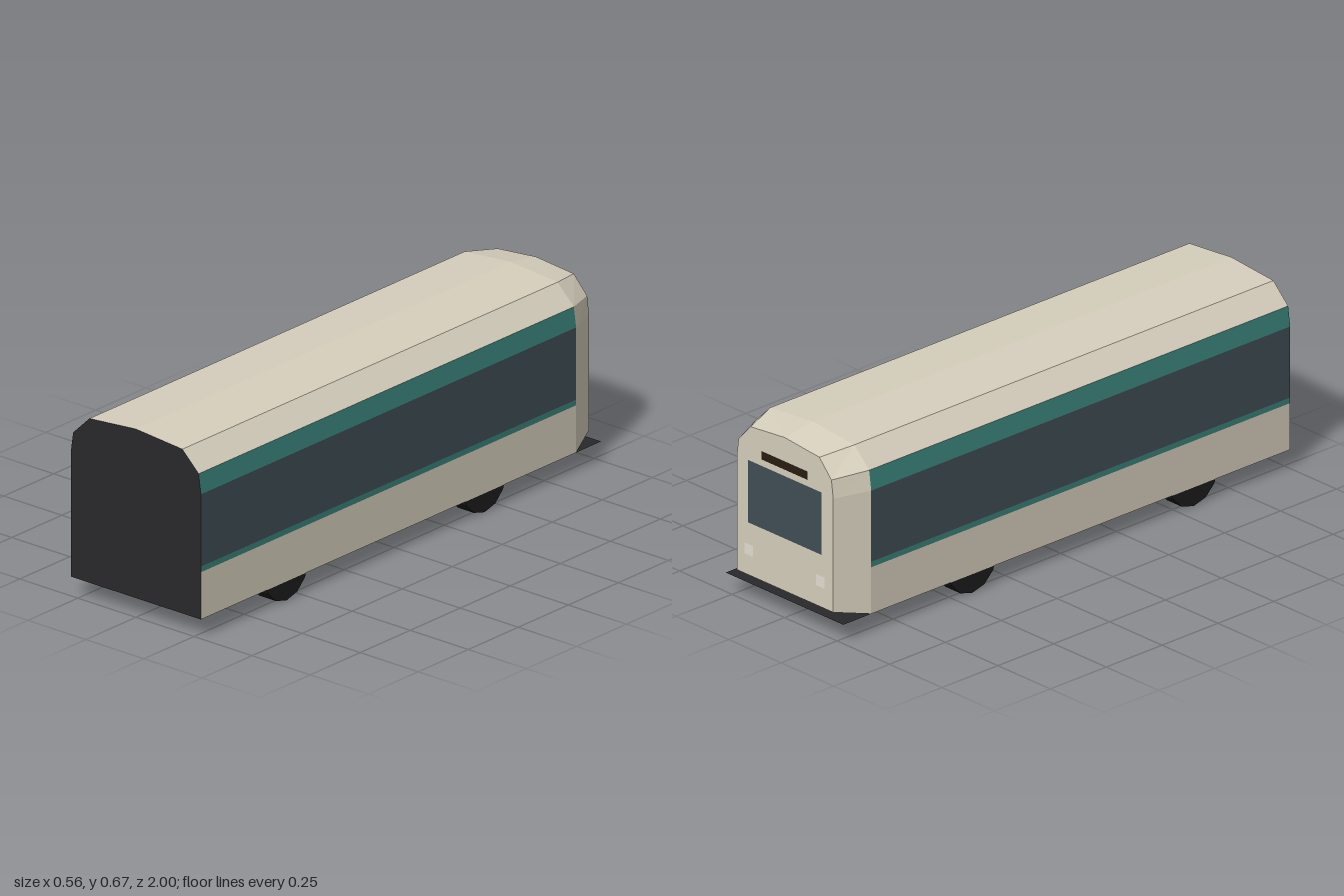
import * as THREE from 'three';

const COLORS = {
  cream: 0xd6cfbd, teal: 0x3a8078, glass: 0x404e55, dark: 0x29292b,
  tyre: 0x1c1c1c, sign: 0x2a1d10, lamp: 0xe4dfd2,
};

const FRONT = 1, CAB = -0.875, BACK = -0.998;

// Half section from floor to ridge, with the name and colour of the band above each point
const HALF = [
  [0.28, 0.068, 'lowerPanel', 'cream'],
  [0.28, 0.235, 'beltStripe', 'teal'],
  [0.28, 0.255, 'windowBand', 'glass'],
  [0.28, 0.51, 'upperStripe', 'teal'],
  [0.27, 0.58, 'roofShoulder', 'cream'],
  [0.2, 0.648, 'roof', 'cream'],
  [0, 0.665],
];

function material(name) {
  return new THREE.MeshStandardMaterial({
    color: COLORS[name], flatShading: true, side: THREE.DoubleSide,
  });
}

function addMesh(parent, name, geometry, color) {
  const mesh = new THREE.Mesh(geometry, material(color));
  mesh.name = name;
  parent.add(mesh);
  return mesh;
}

// Skin between two matching open sections at z0 (front) and z1 (rear)
function loft(sectionA, z0, sectionB, z1) {
  const pos = [];
  for (let i = 0; i < sectionA.length - 1; i++) {
    const a = [...sectionA[i], z0], b = [...sectionB[i], z1];
    const c = [...sectionB[i + 1], z1], d = [...sectionA[i + 1], z0];
    pos.push(...a, ...b, ...c, ...a, ...c, ...d);
  }
  const geo = new THREE.BufferGeometry();
  geo.setAttribute('position', new THREE.Float32BufferAttribute(pos, 3));
  geo.computeVertexNormals();
  return geo;
}

// Right half going up, then the left half coming down
function fullSection(half) {
  const left = half.slice(0, -1).reverse().map(([x, y]) => [-x, y]);
  return [...half.map(([x, y]) => [x, y]), ...left];
}

function endWall(section) {
  return new THREE.ShapeGeometry(new THREE.Shape(section.map(([x, y]) => new THREE.Vector2(x, y))));
}

export function createModel() {
  const car = new THREE.Group();
  car.name = 'railCar';

  // Body bands on both sides
  for (let i = 0; i < HALF.length - 1; i++) {
    const [a, b] = [HALF[i], HALF[i + 1]];
    const right = [[a[0], a[1]], [b[0], b[1]]];
    const left = [[-b[0], b[1]], [-a[0], a[1]]];
    addMesh(car, a[2] + 'Left', loft(right, FRONT, right, CAB), a[3]);
    addMesh(car, a[2] + 'Right', loft(left, FRONT, left, CAB), a[3]);
  }

  // Tapered cab: the section shrinks towards the rear
  const hull = fullSection(HALF.filter((p, i) => i !== 1 && i !== 2));
  const nose = hull.map(([x, y]) => [x * 0.82, 0.095 + (y - 0.068) * 0.922]);
  addMesh(car, 'cabShell', loft(hull, CAB, nose, BACK), 'cream');

  // End walls
  addMesh(car, 'frontBulkhead', endWall(hull), 'dark').position.z = FRONT;
  const cabFace = addMesh(car, 'cabFace', endWall(nose.map(([x, y]) => [-x, y])), 'cream');
  cabFace.rotation.y = Math.PI;
  cabFace.position.z = BACK;

  // Details on the cab face: centre x, centre y, width, height
  const details = [
    ['windscreen', 0, 0.396, 0.35, 0.224, 'glass'],
    ['destinationPanel', 0, 0.546, 0.22, 0.03, 'sign'],
    ['lampLeft', 0.17, 0.187, 0.04, 0.04, 'lamp'],
    ['lampRight', -0.17, 0.187, 0.04, 0.04, 'lamp'],
  ];
  for (const [name, x, y, w, h, color] of details) {
    const panel = addMesh(car, name, new THREE.PlaneGeometry(w, h), color);
    panel.rotation.y = Math.PI;
    panel.position.set(x, y, -1);
  }

  // Floor plate, full length
  const floor = addMesh(car, 'floor', new THREE.PlaneGeometry(0.56, 2), 'dark');
  floor.rotation.x = Math.PI / 2;
  floor.position.y = 0.068;

  // Wheels
  const wheelGeo = new THREE.CylinderGeometry(0.107, 0.107, 0.07, 12).rotateZ(Math.PI / 2);
  for (const z of [0.57, -0.42]) {
    for (const side of [1, -1]) {
      const wheel = addMesh(car, 'wheel', wheelGeo, 'tyre');
      wheel.position.set(side * 0.243, 0.107, z);
    }
  }

  return car;
}
